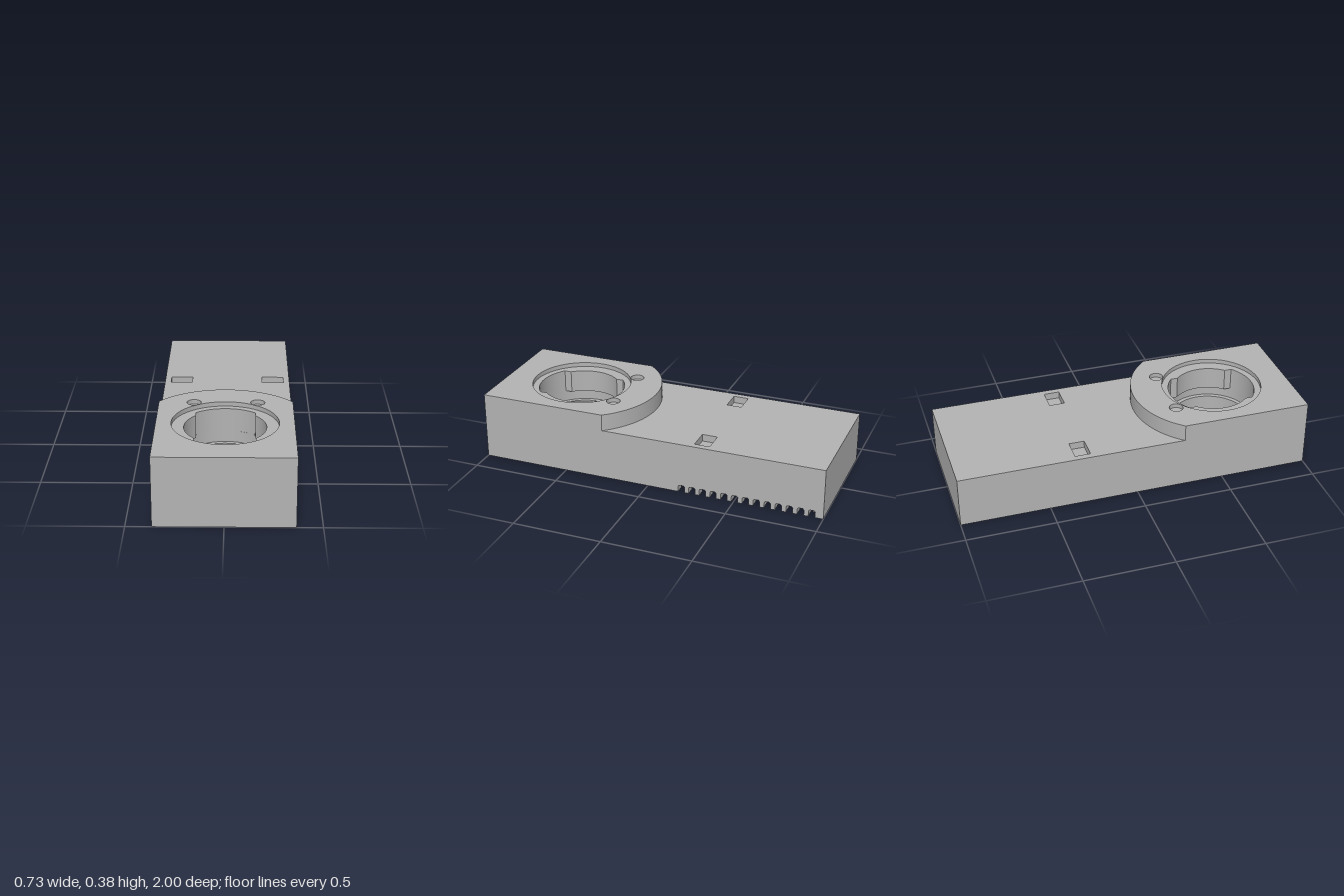
import * as THREE from 'three';
import { toCreasedNormals } from 'three/addons/utils/BufferGeometryUtils.js';

const W = 0.365;            // half width
const WALL = 0.055;         // side wall thickness
const END = 0.07;           // end wall thickness
const CZ = 0.56;            // z of the socket axis
const CEIL = 0.15;          // ceiling of the open underside
const DECK = 0.29, TOP = 0.385;

const circle = (r, x = 0, z = CZ) => new THREE.Path().absarc(x, z, r, 0, Math.PI * 2, false);

const poly = (pts, Type = THREE.Shape) => new Type(pts.map(([a, b]) => new THREE.Vector2(a, b)));

const rect = (x0, x1, z0, z1, Type) => poly([[x0, z0], [x1, z0], [x1, z1], [x0, z1]], Type);

// Socket opening: two side tabs with wider notches at front and back
function bayonet() {
  const inner = 0.218, outer = 0.247, half = 0.16;
  const ai = Math.acos(half / inner), ao = Math.acos(half / outer);
  const p = new THREE.Path();
  p.absarc(0, CZ, outer, ao, Math.PI - ao, false);
  p.absarc(0, CZ, inner, Math.PI - ai, Math.PI + ai, false);
  p.absarc(0, CZ, outer, Math.PI + ao, 2 * Math.PI - ao, false);
  p.absarc(0, CZ, inner, -ai, ai, false);
  p.closePath();
  return p;
}

// Raised front block: square at the front, round at the back
function raisedOutline() {
  const r = 0.465, a = Math.acos(W / r);
  const s = new THREE.Shape();
  s.moveTo(-W, 1);
  s.lineTo(W, 1);
  s.absarc(0, CZ, r, -a, -(Math.PI - a), true);
  s.closePath();
  return s;
}

// Right wall seen from the side, with vent slots along the lower edge
function combOutline() {
  const pts = [[1, 0], [1, CEIL], [-1, CEIL], [-1, 0]];
  const w = 0.037, h = 0.04, c = 0.007;
  for (let i = 12; i >= 0; i--) {
    const z1 = -0.18 - i * 0.0615, z0 = z1 - w;
    pts.push([z0, 0], [z0, h - c], [z0 + c, h], [z1 - c, h], [z1, h - c], [z1, 0]);
  }
  return poly(pts);
}

export function createModel() {
  const group = new THREE.Group();
  const grey = new THREE.MeshStandardMaterial({ color: 0xb3b3b3 });
  grey.name = 'grey plastic';

  const add = (name, geometry) => {
    const mesh = new THREE.Mesh(toCreasedNormals(geometry, 0.5), grey);
    mesh.name = name;
    group.add(mesh);
  };
  const extrude = (shape, depth) =>
    new THREE.ExtrudeGeometry(shape, { depth, bevelEnabled: false, curveSegments: 48 });

  // Plan outline (x, z) extruded between two heights
  const layer = (name, shape, y0, y1, holes = []) => {
    shape.holes.push(...holes);
    add(name, extrude(shape, y1 - y0).rotateX(Math.PI / 2).translate(0, y1, 0));
  };
  const base = () => rect(-W, W, -1, 1);

  // Walls around the open underside
  const wx = W - WALL, wz = 1 - END;
  layer('leftAndEndWalls',
    poly([[wx, -1], [wx, -wz], [-wx, -wz], [-wx, wz], [wx, wz], [wx, 1], [-W, 1], [-W, -1]]), 0, CEIL);
  add('ventedWall', extrude(combOutline(), WALL).rotateY(-Math.PI / 2).translate(W, 0, 0));

  // Tube hanging below the socket
  const tube = new THREE.Shape().absarc(0, CZ, 0.286, 0, Math.PI * 2, false);
  layer('socketTube', tube, 0, CEIL, [circle(0.223)]);

  // Body: ledge, locking groove, then the tabbed opening
  layer('socketLedge', base(), CEIL, 0.165, [circle(0.223)]);
  layer('lockingGroove', base(), 0.165, 0.23, [circle(0.247)]);
  layer('tabbedBody', base(), 0.23, 0.25, [bayonet()]);
  const pockets = [-1, 1].map((s) => rect(s * 0.205, s * 0.33, -0.347, -0.26, THREE.Path));
  layer('pocketedDeck', base(), 0.25, DECK, [bayonet(), ...pockets]);

  // Raised block with a shallow round recess and two small blind holes
  layer('raisedBlock', raisedOutline(), DECK, 0.36, [bayonet()]);
  layer('raisedRim', raisedOutline(), 0.36, TOP,
    [circle(0.284), circle(0.039, -0.173, 0.285), circle(0.039, 0.173, 0.285)]);

  return group;
}
